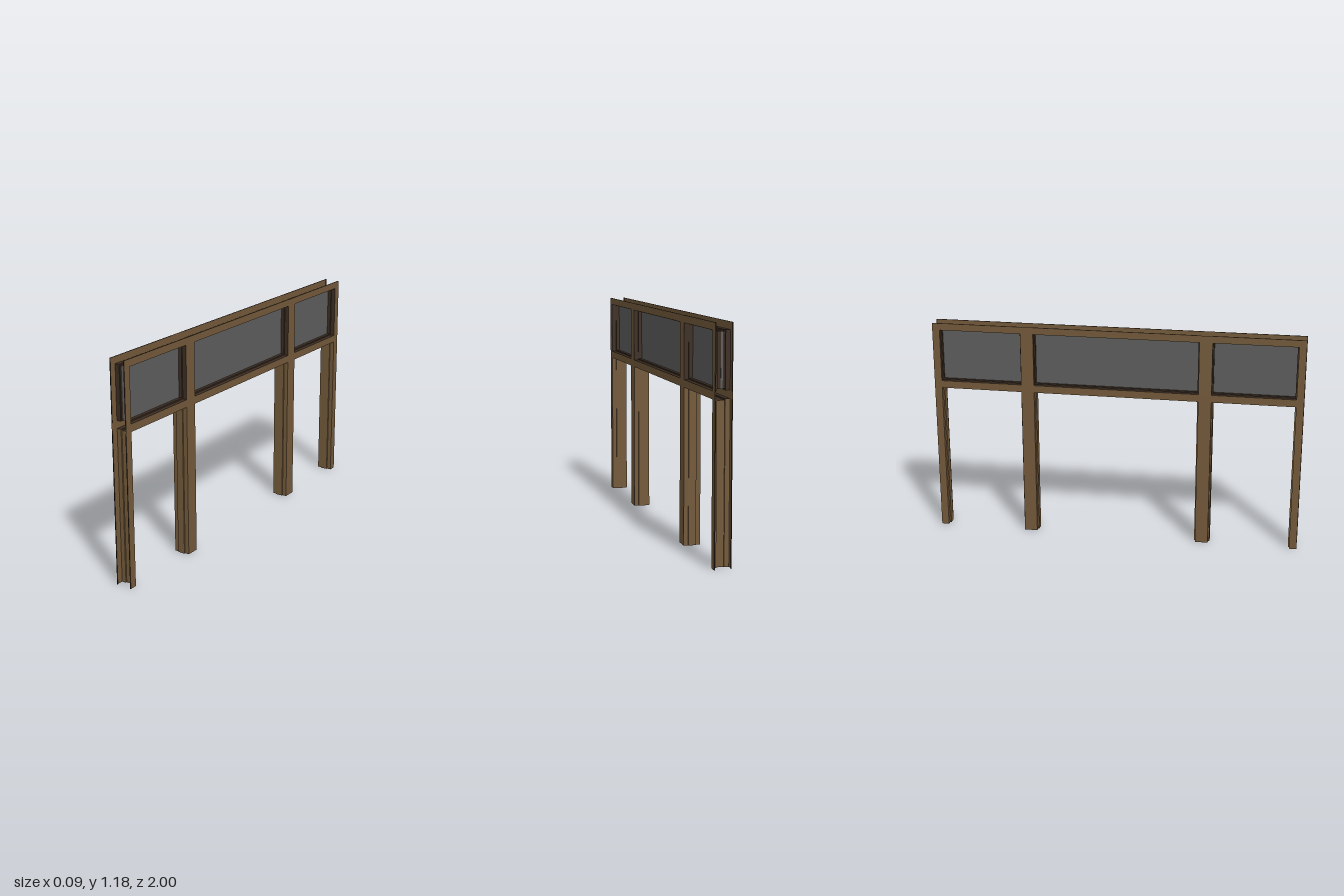
import * as THREE from 'three';

const brown = new THREE.MeshStandardMaterial({ color: 0x735a3b, side: THREE.DoubleSide });
brown.name = 'brown frame';
const dark = new THREE.MeshStandardMaterial({ color: 0x3c2d22, side: THREE.DoubleSide });
dark.name = 'dark lining';
const glass = new THREE.MeshStandardMaterial({ color: 0x5d5d5d });
glass.name = 'grey glass';

const HALF = 0.044, STOP = 0.02, STEP = 0.007;   // half depth, half stop width, stop height
const HEIGHT = 1.178, HEAD = 1.14, SILL = 0.855, DOOR = 0.815;
const BAYS = [[-0.96, -0.515], [-0.445, 0.445], [0.515, 0.96]];

// Lining cross-section: [x, distance towards the opening]
const PROFILE = [[-HALF, 0], [-STOP, 0], [-STOP, STEP], [STOP, STEP], [STOP, 0], [HALF, 0]];

function add(parent, name, geometry, material) {
  const mesh = new THREE.Mesh(geometry, material);
  mesh.name = name;
  parent.add(mesh);
  return mesh;
}

// One mitred length of lining between two corners [z, y, insetZ, insetY]
function lining(a, b) {
  const at = (c, [x, d]) => [x, c[1] + c[3] * d, c[0] + c[2] * d];
  const pos = [];
  for (let i = 0; i < PROFILE.length - 1; i++) {
    const p = at(a, PROFILE[i]), q = at(b, PROFILE[i]);
    const r = at(b, PROFILE[i + 1]), s = at(a, PROFILE[i + 1]);
    pos.push(...p, ...q, ...r, ...p, ...r, ...s);
  }
  const g = new THREE.BufferGeometry();
  g.setAttribute('position', new THREE.Float32BufferAttribute(pos, 3));
  g.computeVertexNormals();
  return g;
}

// Thin flat face of the whole frame, with notches for doorways and holes for windows
function faceGeometry() {
  const s = new THREE.Shape();
  s.moveTo(-1, 0);
  for (const [z0, z1] of BAYS) {
    s.lineTo(z0, 0);
    s.lineTo(z0, DOOR);
    s.lineTo(z1, DOOR);
    s.lineTo(z1, 0);
  }
  s.lineTo(1, 0);
  s.lineTo(1, HEIGHT);
  s.lineTo(-1, HEIGHT);
  s.closePath();
  for (const [z0, z1] of BAYS) {
    const h = new THREE.Path();
    h.moveTo(z0, SILL);
    h.lineTo(z0, HEAD);
    h.lineTo(z1, HEAD);
    h.lineTo(z1, SILL);
    h.closePath();
    s.holes.push(h);
  }
  return new THREE.ShapeGeometry(s);
}

export function createModel() {
  const model = new THREE.Group();
  model.name = 'glazedPartitionFrame';

  // Frame faces on both sides
  for (const side of [-1, 1]) {
    const face = add(model, side > 0 ? 'leftFace' : 'rightFace', faceGeometry(), brown);
    face.rotation.y = side * Math.PI / 2;
    face.position.x = side * HALF;

    // Narrow folded lips along the outer edges
    for (const end of [-1, 1]) {
      for (const [y0, y1] of [[0, DOOR], [SILL, HEIGHT]]) {
        const lip = add(model, 'endLip', new THREE.PlaneGeometry(0.005, y1 - y0), dark);
        lip.position.set(side * (HALF - 0.0025), (y0 + y1) / 2, end);
      }
    }
    for (const [z0, z1] of [[-1, -0.515], [-0.445, 0.445], [0.515, 1]]) {
      const lip = add(model, 'topLip', new THREE.PlaneGeometry(0.005, z1 - z0), dark);
      lip.rotation.x = -Math.PI / 2;
      lip.position.set(side * (HALF - 0.0025), HEIGHT, (z0 + z1) / 2);
    }
  }

  for (const [z0, z1] of BAYS) {
    // Window lining, all four sides
    const w = [[z0, SILL, 1, 1], [z1, SILL, -1, 1], [z1, HEAD, -1, -1], [z0, HEAD, 1, -1]];
    w.forEach((c, i) => add(model, 'windowLining', lining(c, w[(i + 1) % 4]), dark));

    // Doorway lining: two jambs and a head, open at the floor
    const d = [[z0, 0, 1, 0], [z0, DOOR, 1, -1], [z1, DOOR, -1, -1], [z1, 0, -1, 0]];
    for (let i = 0; i < 3; i++) {
      add(model, i === 1 ? 'doorHead' : 'doorJamb', lining(d[i], d[i + 1]), i === 1 ? dark : brown);
    }

    // Glass pane, seated just through the stop
    const inset = 2 * (STEP - 0.001);
    const pane = add(model, 'glassPane',
      new THREE.BoxGeometry(0.01, HEAD - SILL - inset, z1 - z0 - inset), glass);
    pane.position.set(-0.004, (HEAD + SILL) / 2, (z0 + z1) / 2);
  }
  return model;
}
